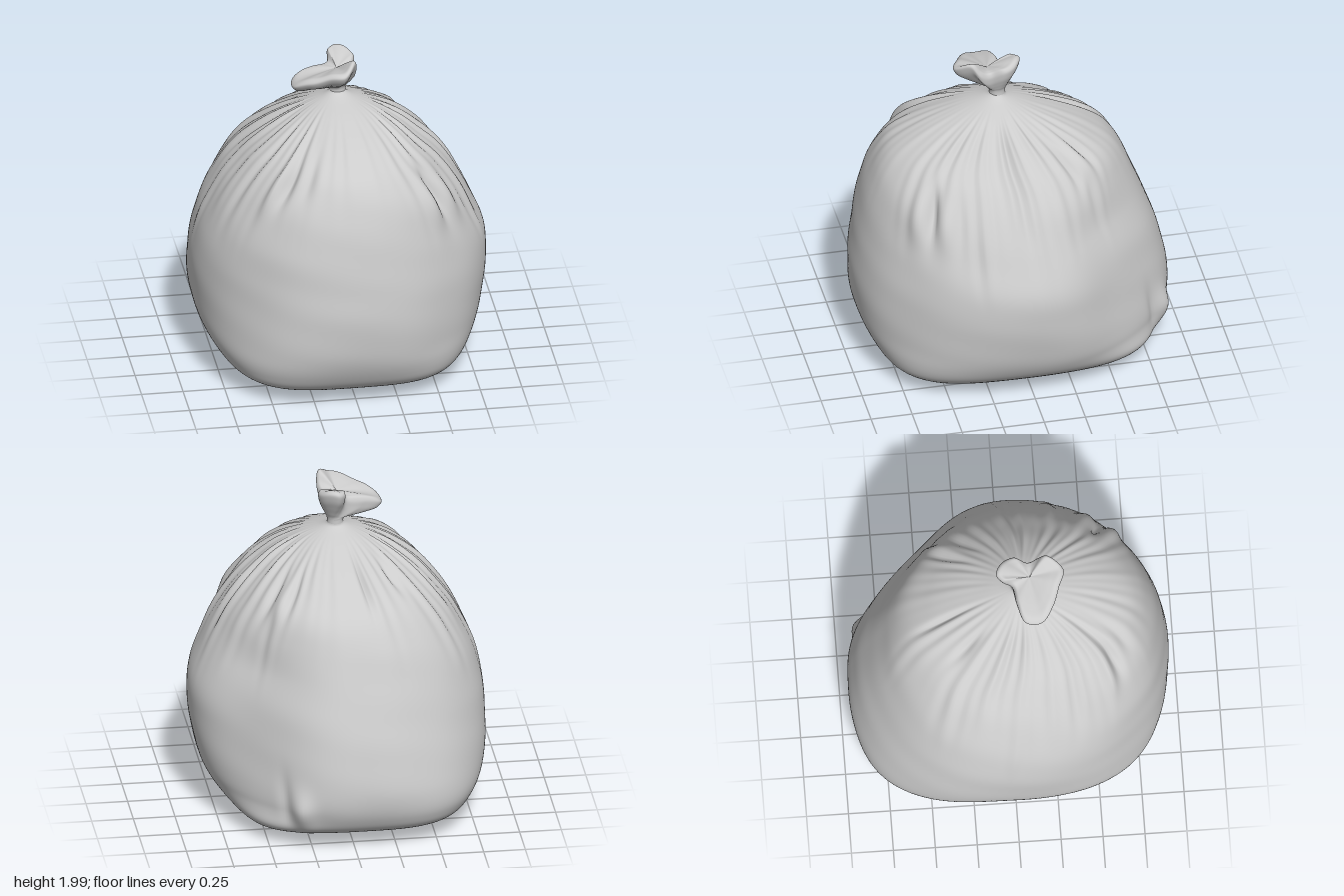
import * as THREE from 'three';

const material = new THREE.MeshStandardMaterial({ color: 0xcccccc, roughness: 0.6, side: THREE.DoubleSide });
const smooth = THREE.MathUtils.smoothstep;

// Smooth closed surface through rings; point(v, a) gives a position for row v (0..1) and angle a.
function loft(name, rows, sides, point) {
  const pos = [], index = [];
  for (let i = 0; i <= rows; i++) {
    for (let j = 0; j < sides; j++) {
      pos.push(...point(i / rows, (j / sides) * Math.PI * 2));
      if (i === rows) continue;
      const k = (j + 1) % sides;
      const a = i * sides + j, b = i * sides + k, c = a + sides, d = b + sides;
      index.push(a, c, b, b, c, d);
    }
  }
  const geometry = new THREE.BufferGeometry();
  geometry.setAttribute('position', new THREE.Float32BufferAttribute(pos, 3));
  geometry.setIndex(index);
  geometry.computeVertexNormals();
  const mesh = new THREE.Mesh(geometry, material);
  mesh.name = name;
  return mesh;
}

// Sack sections: y, xMin, xMax, zMin, zMax, squareness
const sections = [
  [0, 0, 0, 0, 0, 3],
  [0.004, -0.28, 0.38, -0.38, 0.4, 3.2],
  [0.03, -0.48, 0.54, -0.6, 0.63, 3.6],
  [0.1, -0.68, 0.67, -0.83, 0.8, 3.6],
  [0.2, -0.79, 0.775, -0.92, 0.885, 3.1],
  [0.36, -0.865, 0.845, -0.955, 0.94, 2.5],
  [0.6, -0.88, 0.88, -0.92, 0.96, 2.2],
  [0.8, -0.86, 0.87, -0.86, 0.94, 2.15],
  [1.0, -0.8, 0.79, -0.78, 0.905, 2.2],
  [1.2, -0.695, 0.685, -0.7, 0.855, 2.2],
  [1.35, -0.58, 0.57, -0.612, 0.79, 2.15],
  [1.46, -0.47, 0.46, -0.48, 0.7, 2.1],
  [1.56, -0.345, 0.345, -0.31, 0.54, 2.05],
  [1.645, -0.21, 0.21, -0.13, 0.34, 2],
  [1.7, -0.09, 0.08, 0.0, 0.17, 2],
  [1.73, -0.052, 0.042, 0.022, 0.118, 2],
  [1.76, -0.056, 0.046, 0.019, 0.121, 2],
];

// Tucks and bulges: angle, angular width, depth, height, half height
const tucks = [
  [0.7, 0.045, -0.055, 1.24, 0.13], [0.82, 0.09, 0.03, 1.2, 0.16],
  [0.58, 0.06, 0.02, 1.2, 0.15], [0.45, 0.05, -0.018, 1.2, 0.15],
  [-0.62, 0.05, -0.025, 1.42, 0.12], [-0.75, 0.06, 0.018, 1.4, 0.1],
  [-0.88, 0.05, -0.02, 1.45, 0.1],
  [2.3, 0.05, -0.028, 1.38, 0.12], [2.42, 0.06, 0.022, 1.34, 0.15],
  [2.1, 0.06, -0.016, 1.42, 0.1],
  [-2.35, 0.06, -0.025, 1.5, 0.07], [-1.85, 0.04, -0.02, 1.5, 0.09],
  [-1.16, 0.08, 0.045, 0.25, 0.11], [-1.03, 0.05, -0.018, 0.32, 0.13],
];

function foldDepth(a, y) {
  const side = Math.cos(a) ** 2;
  // Pleats radiating from the tie, uneven in length and strongest at the two sides
  const start = 1.08 - 0.25 * side + 0.12 * Math.sin(11 * a + 1) + 0.07 * Math.sin(17 * a);
  const reach = smooth(y, start, start + 0.45) * (1 - smooth(y, 1.54, 1.69));
  const wave = Math.sin(26 * a + 2 * Math.sin(3 * a)) * 0.55 + Math.sin(43 * a + 2.5 * Math.sin(2 * a) + 1) * 0.45;
  let d = reach * wave * (0.003 + 0.012 * side) * (0.75 + 0.25 * Math.sin(7 * a + 6 * y));
  // Soft unevenness of the film
  const film = smooth(y, 0.1, 0.4) * (1 - smooth(y, 1.4, 1.7));
  d += film * 0.004 * Math.sin(5 * a + 4 * y) * Math.sin(3 * a - 5 * y);
  d += film * 0.002 * Math.sin(9 * a - 11 * y) * Math.sin(13 * y + 4 * a);
  for (const [angle, width, depth, height, half] of tucks) {
    const da = Math.atan2(Math.sin(a - angle), Math.cos(a - angle)) / width;
    const dy = (y - height) / half;
    d += depth * Math.exp(-da * da - dy * dy);
  }
  return d;
}

function makeSack() {
  const curve = (f) => new THREE.CatmullRomCurve3(sections.map(f), false, 'catmullrom', 0.5);
  const xs = curve((s) => new THREE.Vector3(s[1], s[2], s[0]));
  const zs = curve((s) => new THREE.Vector3(s[3], s[4], s[5]));
  return loft('sack', 150, 256, (v, a) => {
    const { x: x0, y: x1, z: y } = xs.getPoint(v);
    const { x: z0, y: z1, z: n } = zs.getPoint(v);
    const c = Math.cos(a), s = Math.sin(a);
    let r = 1 / (Math.abs(c) ** n + Math.abs(s) ** n) ** (1 / n);
    // Each corner of the sack is filled a little differently
    const corner = s > 0 ? (c > 0 ? -0.03 : -0.015) : c > 0 ? -0.12 : 0.012;
    r *= 1 + corner * Math.sin(2 * a) ** 2 * smooth(y, 0, 0.25) * (1 - smooth(y, 1.0, 1.5));
    const d = foldDepth(a, y);
    return [
      (x0 + x1) / 2 + (r * (x1 - x0) / 2 + d) * c,
      Math.max(0, y + d * 0.8 * smooth(y, 1.0, 1.5)),
      (z0 + z1) / 2 + (r * (z1 - z0) / 2 + d) * s,
    ];
  });
}

// Gathered end above the tie: narrow neck opening to a crumpled rim, shallow hollow on top
function makeKnot() {
  const rim = new THREE.CatmullRomCurve3([
    [0.1, 1.925, 0.04], [0.075, 1.885, 0.12], [0.09, 1.915, 0.19], [0.075, 1.98, 0.25],
    [0.0, 1.93, 0.335], [-0.1, 1.91, 0.3], [-0.2, 1.87, 0.26], [-0.285, 1.825, 0.19],
    [-0.28, 1.83, 0.09], [-0.17, 1.86, 0.045], [-0.065, 1.88, 0.025], [-0.05, 1.94, -0.035],
    [-0.01, 1.95, -0.068], [0.065, 1.945, -0.03],
  ].map((p) => new THREE.Vector3(...p)), true);
  const hollow = new THREE.Vector3(-0.02, 1.9, 0.13);
  // Spread from neck (0) to rim (1), then in towards the hollow; with lift
  const profile = new THREE.CatmullRomCurve3([
    [0, -0.03, 0], [0, 0, 0], [0.25, -0.004, 0], [0.6, -0.022, 0], [0.92, -0.028, 0],
    [1, -0.006, 0], [1, 0.016, 0.08], [1, 0.02, 0.3], [1, 0.012, 0.65], [1, 0, 1],
  ].map((p) => new THREE.Vector3(...p)));
  return loft('knot', 48, 112, (v, a) => {
    const p = profile.getPoint(v);
    const neck = new THREE.Vector3(-0.005 + 0.049 * Math.cos(a), 1.745, 0.07 + 0.049 * Math.sin(a));
    const q = neck.lerp(rim.getPoint(a / (Math.PI * 2)), p.x).lerp(hollow, p.z);
    q.y += p.y + 0.005 * Math.sin(7 * a) * p.x * (1 - p.z);
    return q.toArray();
  });
}

export function createModel() {
  const group = new THREE.Group();
  group.name = 'tiedSack';
  group.add(makeSack(), makeKnot());
  return group;
}
